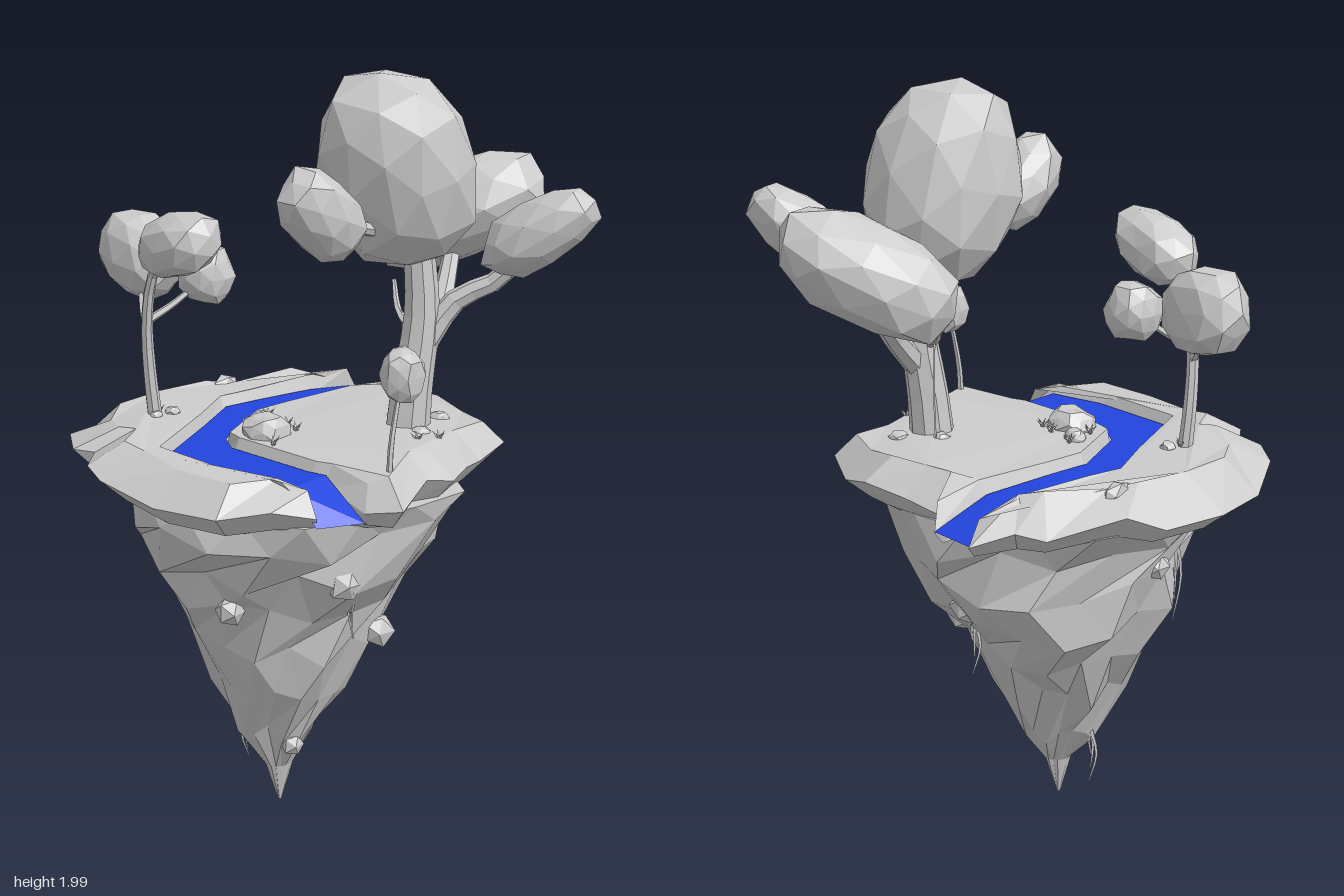
import * as THREE from 'three';

const V = (x, y, z) => new THREE.Vector3(x, y, z);
const mat = (color) => new THREE.MeshStandardMaterial({ color, flatShading: true, side: THREE.DoubleSide });
const grey = mat(0xcccccc);
const blue = mat(0x2244dd);

// Repeatable noise in -1..1
function noise(a, b = 0, c = 0) {
  const s = Math.sin(a * 127.1 + b * 311.7 + c * 74.7 + 1.3) * 43758.5453;
  return (s - Math.floor(s)) * 2 - 1;
}

function addMesh(parent, name, geometry, material = grey) {
  const mesh = new THREE.Mesh(geometry, material);
  mesh.name = name;
  parent.add(mesh);
  return mesh;
}

// Skin over closed rings, listed bottom to top, counterclockwise from above
function loft(rings) {
  const n = rings[0].length;
  const index = [];
  for (let r = 0; r < rings.length - 1; r++) {
    for (let i = 0; i < n; i++) {
      const j = (i + 1) % n, a = r * n, b = a + n;
      index.push(a + i, a + j, b + j, a + i, b + j, b + i);
    }
  }
  const cap = (r, flip) => {
    const flat = rings[r].map((p) => new THREE.Vector2(p.x, -p.z));
    for (const [a, b, c] of THREE.ShapeUtils.triangulateShape(flat, [])) {
      const t = flip ? [a, c, b] : [a, b, c];
      index.push(...t.map((k) => k + r * n));
    }
  };
  cap(0, true);
  cap(rings.length - 1, false);
  const g = new THREE.BufferGeometry().setFromPoints(rings.flat());
  g.setIndex(index);
  g.computeVertexNormals();
  return g;
}

// Faceted, slightly boxy ellipsoid: radii [side, along, side], long axis turned to dir
function blob(parent, name, pos, radii, dir = [0, 1, 0], detail = 1, rough = 0.08) {
  const g = new THREE.IcosahedronGeometry(1, detail);
  const p = g.attributes.position, v = V(0, 0, 0);
  const boxy = (q) => Math.sign(q) * Math.abs(q) ** 0.88;
  for (let i = 0; i < p.count; i++) {
    v.fromBufferAttribute(p, i);
    const k = [v.x, v.y, v.z].map((q) => Math.round(q * 50) + 0);
    const s = 1 + rough * noise(k[0] + pos[0] * 90, k[1] + pos[1] * 70, k[2]);
    p.setXYZ(i, boxy(v.x) * s, boxy(v.y) * s, boxy(v.z) * s);
  }
  g.scale(...radii);
  g.computeVertexNormals();
  const m = addMesh(parent, name, g);
  m.position.set(...pos);
  m.quaternion.setFromUnitVectors(V(0, 1, 0), V(...dir).normalize());
}

// Tapered limb along a curve
function limb(parent, name, points, r0, r1, sides = 7) {
  const curve = new THREE.CatmullRomCurve3(points.map((p) => V(...p)));
  const n = points.length * 2;
  const g = new THREE.TubeGeometry(curve, n, 1, sides);
  const p = g.attributes.position, v = V(0, 0, 0);
  for (let i = 0; i < p.count; i++) {
    const t = Math.floor(i / (sides + 1)) / n, c = curve.getPointAt(t);
    v.fromBufferAttribute(p, i).sub(c).multiplyScalar(r0 + (r1 - r0) * t).add(c);
    p.setXYZ(i, v.x, v.y, v.z);
  }
  g.computeVertexNormals();
  addMesh(parent, name, g);
}

// River edges and shoreline as [x, z]
const riverInner = [[-.18, -.48], [-.17, -.29], [-.2, -.08], [-.21, .03], [-.13, .21], [-.07, .25], [.2, .25], [.25, .24], [.4, .26]];
const riverOuter = [[-.31, -.49], [-.28, -.27], [-.3, -.08], [-.32, .02], [-.25, .17], [-.15, .4], [.1, .41], [.25, .38], [.34, .37]];
const riverY = [.975, 1.02, 1.03, 1.03, 1.03, 1.03, 1.03, 1.03, .945];
const shoreBack = [[.49, .22], [.42, .05], [.44, -.03], [.4, -.13], [.37, -.22], [.36, -.33], [.25, -.39], [.13, -.43], [0, -.41], [-.09, -.38]];
const shoreFront = [[-.36, -.38], [-.43, -.34], [-.51, -.14], [-.57, -.06], [-.6, .12], [-.57, .29], [-.5, .42], [-.4, .5],
  [-.35, .47], [-.28, .56], [-.2, .59], [0, .6], [.2, .58], [.28, .47]];
const inset = ([x, z], s, y) => V(x * s, y, .05 + (z - .05) * s);

// Bank: sloped rim outside, short steep wall along the water
function bank(parent, name, shore, edge, opposite, topScale) {
  const foot = [], rim = [], top = [];
  shore.forEach((p, i) => {
    const k = noise(p[0] * 9, p[1] * 9);
    foot.push(inset(p, .88 + .03 * noise(i, 2), .93 + .012 * k));
    rim.push(inset(p, 1, .99 + .025 * k));
    top.push(inset(p, topScale + .04 * noise(i, 4), 1.06 + .01 * noise(i, 8)));
  });
  edge.forEach((p, i) => {
    const end = i === 0 || i === edge.length - 1, q = opposite[i];
    const away = new THREE.Vector2(p[0] - q[0], p[1] - q[1]).normalize().multiplyScalar(.022);
    const t = [p[0] + away.x, p[1] + away.y];
    foot.push(inset(p, end ? .92 : 1, .93));
    rim.push(inset(p, 1, end ? .97 : 1));
    top.push(inset(t, end ? .92 : 1, end ? 1.035 : 1.055));
  });
  addMesh(parent, name, loft([foot, rim, top]));
}

function buildIsland(parent) {
  const rev = (a) => [...a].reverse();
  bank(parent, 'backBank', shoreBack, riverInner, riverOuter, .86);
  bank(parent, 'frontBank', shoreFront, rev(riverOuter), rev(riverInner), .82);
  const outline = [...shoreFront, ...shoreBack];
  addMesh(parent, 'riverBed', loft([[.78, .91], [.86, .935], [.85, .965]].map(([s, y]) => outline.map((p) => inset(p, s, y)))));

  // Water ribbon
  const pts = [], index = [];
  riverInner.forEach(([x, z], i) => {
    const [u, w] = riverOuter[i];
    pts.push(V(x, riverY[i], z), V(u, riverY[i], w));
    if (i) index.push(2 * i - 2, 2 * i - 1, 2 * i, 2 * i - 1, 2 * i + 1, 2 * i);
  });
  const water = new THREE.BufferGeometry().setFromPoints(pts);
  water.setIndex(index);
  water.computeVertexNormals();
  addMesh(parent, 'river', water, blue);

  // Hanging rock: [y, xMin, xMax, zMin, zMax]
  const levels = [[0, -.035, -.025, .115, .125], [.11, -.06, .0, .08, .16], [.22, -.15, .06, .02, .21], [.36, -.23, .14, -.06, .27],
    [.5, -.31, .2, -.16, .33], [.62, -.38, .25, -.24, .38], [.74, -.41, .31, -.31, .43], [.85, -.44, .38, -.34, .49], [.94, -.48, .42, -.37, .52]];
  const sides = 17;
  addMesh(parent, 'hangingRock', loft(levels.map(([y, x0, x1, z0, z1], r) => Array.from({ length: sides }, (_, i) => {
    const a = ((i + (r % 2) * .5) / sides) * Math.PI * 2;
    const k = 1 + .08 * noise(i, r);
    const dy = r > 1 && r < 8 ? .035 * noise(i, r, 5) : 0;
    return V((x0 + x1) / 2 + (x1 - x0) / 2 * k * Math.cos(a), y + dy, (z0 + z1) / 2 - (z1 - z0) / 2 * k * Math.sin(a));
  }))));

  // Stones set in the rock
  [[.03, .64, .36, .038], [.28, .74, .2, .048], [.18, .51, -.03, .045], [.05, .2, .15, .032], [-.04, .66, -.23, .045], [-.39, .78, .1, .04]]
    .forEach(([x, y, z, r]) => blob(parent, 'embeddedStone', [x, y, z], [r, r, r], [0, 1, 0], 0, .15));

  // Dangling roots
  [[-.37, .84, .2, .24], [-.15, .23, .12, .15], [-.04, .62, -.21, .15], [.25, .72, .14, .17]]
    .forEach(([x, y, z, len], k) => {
      for (let i = 0; i < 3; i++) {
        const dx = .014 * (i - 1), l = len * (1 - .2 * i);
        limb(parent, 'root', [[x, y, z], [x + dx, y - l * .5, z + .012 * noise(i, k)], [x + dx * .6, y - l, z + dx]], .007, .002, 4);
      }
    });
}

function buildTrees(parent) {
  // Large tree
  const big = new THREE.Group();
  big.name = 'largeTree';
  parent.add(big);
  limb(big, 'trunk', [[.195, 1.03, -.13], [.2, 1.16, -.14], [.21, 1.36, -.165], [.2, 1.55, -.16]], .06, .04, 9);
  limb(big, 'branch', [[.21, 1.26, -.16], [.27, 1.39, -.23], [.36, 1.45, -.29], [.44, 1.56, -.32]], .036, .02);
  limb(big, 'branch', [[.21, 1.24, -.16], [.19, 1.34, -.26], [.15, 1.42, -.34], [.11, 1.54, -.42]], .036, .02);
  limb(big, 'branch', [[.2, 1.5, -.15], [.2, 1.59, -.04], [.19, 1.63, .08], [.185, 1.67, .17]], .026, .014);
  limb(big, 'twig', [[.19, 1.3, -.16], [.12, 1.34, -.18], [.05, 1.4, -.24]], .012, .006, 5);
  limb(big, 'vine', [[.13, 1.35, -.18], [.135, 1.2, -.18], [.13, 1.06, -.18]], .003, .003, 4);
  blob(big, 'mainCanopy', [.165, 1.735, -.115], [.205, .265, .185], [0, 1, .28], 1, .05);
  blob(big, 'backCanopy', [.11, 1.565, -.425], [.13, .255, .13], [.21, .11, -.13], 1, .05);
  blob(big, 'sideCanopy', [.46, 1.585, -.325], [.085, .17, .085], [.14, .1, -.06]);
  blob(big, 'frontCanopy', [.185, 1.675, .19], [.09, .145, .09], [0, .1, .1]);

  // Small tree
  const small = new THREE.Group();
  small.name = 'smallTree';
  parent.add(small);
  limb(small, 'trunk', [[-.35, 1.03, .25], [-.355, 1.18, .265], [-.345, 1.32, .28], [-.31, 1.45, .29], [-.24, 1.53, .3]], .02, .012, 7);
  limb(small, 'branch', [[-.35, 1.29, .275], [-.39, 1.34, .25], [-.45, 1.42, .2]], .013, .008, 5);
  limb(small, 'branch', [[-.345, 1.32, .28], [-.31, 1.36, .22], [-.27, 1.42, .15]], .012, .007, 5);
  blob(small, 'leftCanopy', [-.465, 1.46, .185], [.115, .135, .085], [1, -.15, .1]);
  blob(small, 'topCanopy', [-.2, 1.555, .3], [.085, .135, .085], [1, .35, .1]);
  blob(small, 'backCanopy', [-.27, 1.43, .135], [.07, .078, .072]);

  // Sapling
  limb(parent, 'saplingStem', [[.4, 1.02, .17], [.4, 1.12, .165], [.4, 1.28, .13]], .009, .006, 5);
  blob(parent, 'saplingCanopy', [.403, 1.3, .13], [.053, .07, .055], [0, 1, 0], 1, .1);
}

function buildGroundDetails(parent) {
  // Boulders: [x, z, radius]
  [[-.03, .165, .064], [-.105, .1, .03], [-.33, .21, .02], [-.34, .26, .018], [.13, -.16, .025], [.27, -.1, .025], [.22, -.23, .025]]
    .forEach(([x, z, r]) => blob(parent, 'boulder', [x, 1.06, z], [r, r * .75, r * .9], [0, 1, 0], 1, .12));
  // Ridge stone on the left bank
  blob(parent, 'ridgeStone', [-.43, 1.04, -.09], [.025, .03, .05], [0, 1, 0], 0, .15);
  // Low plants: a ring of tiny leaves each
  [[-.12, .06], [-.03, .085], [.015, .1], [-.11, .15], [.05, .22], [-.35, .24], [.3, -.05], [.33, -.1]].forEach(([x, z]) => {
    const plant = new THREE.Group();
    plant.name = 'plant';
    plant.position.set(x, 1.06, z);
    for (let i = 0; i < 5; i++) {
      const leaf = addMesh(plant, 'leaf', new THREE.ConeGeometry(.006, .03, 3));
      const a = (i / 5) * Math.PI * 2;
      leaf.position.set(.008 * Math.cos(a), .01, .008 * Math.sin(a));
      leaf.rotation.set(.8 * Math.sin(a), 0, -.8 * Math.cos(a));
    }
    parent.add(plant);
  });
}

export function createModel() {
  const model = new THREE.Group();
  model.name = 'floatingIsland';
  buildIsland(model);
  buildTrees(model);
  buildGroundDetails(model);
  return model;
}
